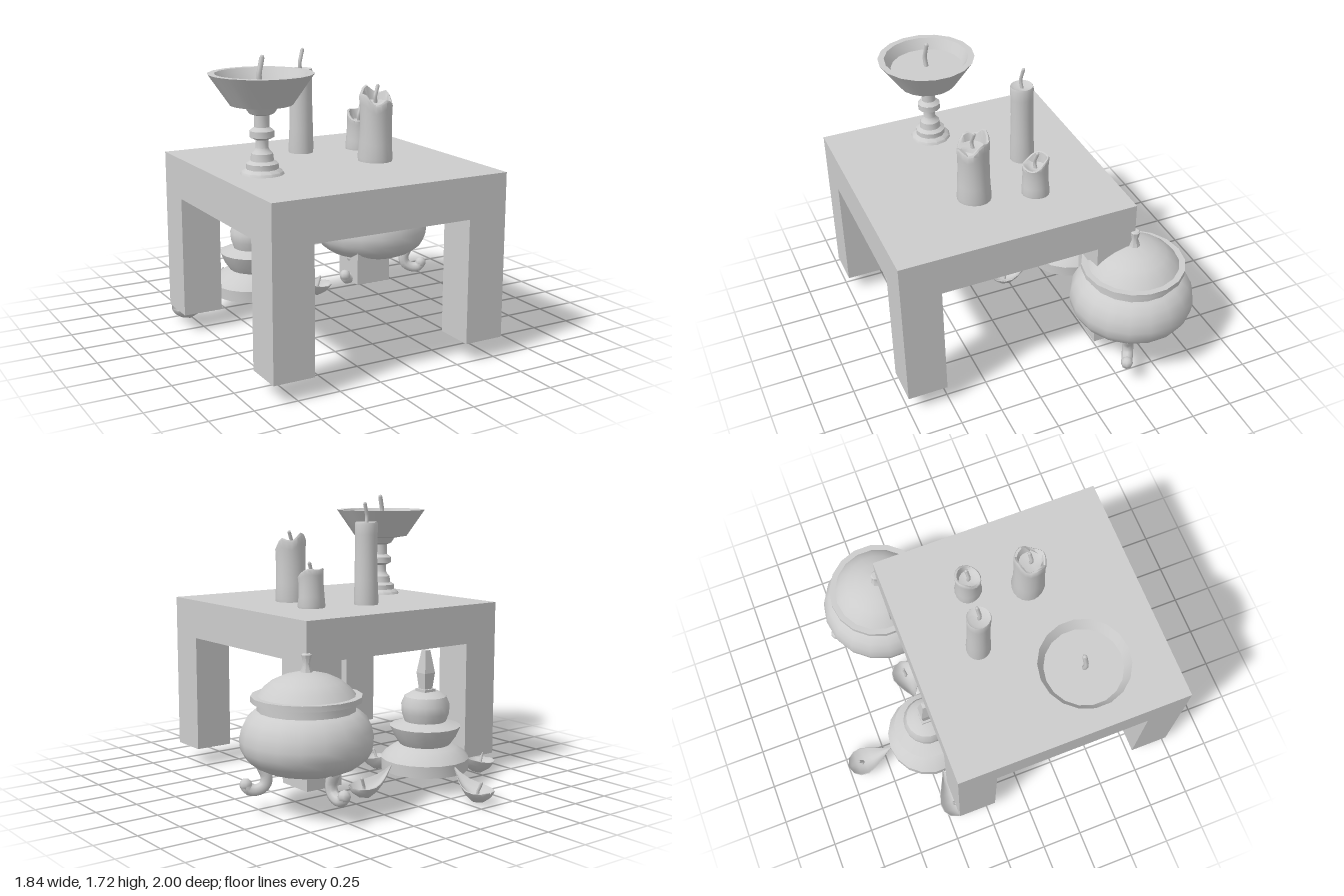
import * as THREE from 'three';
import { toCreasedNormals } from 'three/addons/utils/BufferGeometryUtils.js';

const stone = new THREE.MeshStandardMaterial({ color: 0xcccccc });
stone.name = 'plain grey';

function add(parent, name, geometry, x = 0, y = 0, z = 0) {
  const mesh = new THREE.Mesh(geometry, stone);
  mesh.name = name;
  mesh.position.set(x, y, z);
  parent.add(mesh);
  return mesh;
}

function group(parent, name, x = 0, y = 0, z = 0) {
  const g = new THREE.Group();
  g.name = name;
  g.position.set(x, y, z);
  parent.add(g);
  return g;
}

// Turned solid from [radius, height] pairs, bottom to top
function turned(profile, sides, crease = 0.6) {
  const points = profile.map(([r, y]) => new THREE.Vector2(r, y));
  return toCreasedNormals(new THREE.LatheGeometry(points, sides), crease);
}

// Skin through closed rings of [x, y, z] points
function loft(rings, crease = 0.8) {
  const n = rings[0].length, index = [];
  for (let i = 0; i < rings.length - 1; i++) {
    for (let j = 0; j < n; j++) {
      const a = i * n + j, b = i * n + (j + 1) % n;
      index.push(a, b, a + n, b, b + n, a + n);
    }
  }
  const g = new THREE.BufferGeometry();
  g.setAttribute('position', new THREE.Float32BufferAttribute(rings.flat(2), 3));
  g.setIndex(index);
  return toCreasedNormals(g, crease);
}

function tube(points, radius, segments = 8, sides = 6) {
  const curve = new THREE.CatmullRomCurve3(points.map((p) => new THREE.Vector3(...p)));
  return new THREE.TubeGeometry(curve, segments, radius, sides);
}

// Bent wick with a closed tip
function wick(parent, x, y, z, h, r = 0.011) {
  const g = group(parent, 'wick', x, y, z);
  add(g, 'wickStem', tube([[0, 0, 0], [-0.008, h * 0.4, 0.004], [0.004, h * 0.75, 0], [0.014, h, -0.004]], r));
  add(g, 'wickTip', new THREE.SphereGeometry(r, 6, 4), 0.014, h, -0.004);
}

// Wax pillar with an uneven rim and a sunken top
function candle(parent, name, x, z, r, rim, pool, wickHeight, wobble) {
  const g = group(parent, name, x, 1.07, z);
  const n = 18;
  const ring = (radius, height) => Array.from({ length: n }, (_, j) => {
    const a = j / n * Math.PI * 2;
    const k = radius * (1 + wobble * Math.sin(a * 3 + height(a) * 14));
    return [Math.cos(a) * k, height(a), -Math.sin(a) * k];
  });
  const rings = [ring(0.001, () => 0), ring(r * 1.02, () => 0)];
  for (const [t, k] of [[0.06, 1.04], [0.3, 0.98], [0.6, 0.94], [0.85, 0.95], [0.97, 0.98]]) {
    rings.push(ring(r * k, (a) => rim(a) * t));
  }
  rings.push(ring(r * 0.92, rim), ring(r * 0.8, (a) => rim(a) * 0.99));
  rings.push(ring(r * 0.66, () => pool + 0.008), ring(r * 0.3, () => pool), ring(0.001, () => pool));
  add(g, name + 'Wax', loft(rings));
  wick(g, 0, pool - 0.005, 0, wickHeight);
}

function buildTable(parent) {
  const g = group(parent, 'table');
  add(g, 'tableTop', new THREE.BoxGeometry(1.44, 0.24, 1.44), -0.17, 0.95, 0.28);
  for (const x of [-0.77, 0.43]) {
    for (const z of [-0.32, 0.88]) {
      add(g, 'tableLeg', new THREE.BoxGeometry(0.24, 0.72, 0.24), x, 0.47, z);
    }
  }
}

function buildPot(parent) {
  const g = group(parent, 'lidded pot', 0.55, 0, -0.44);
  add(g, 'potBody', turned([[0, 0.25], [0.235, 0.25], [0.29, 0.275], [0.34, 0.315], [0.368, 0.365], [0.375, 0.42],
    [0.362, 0.48], [0.335, 0.535], [0.295, 0.57], [0.275, 0.58], [0.275, 0.635], [0, 0.635]], 18));
  add(g, 'lidRim', turned([[0, 0.63], [0.31, 0.63], [0.31, 0.662], [0.27, 0.662], [0, 0.662]], 18));
  add(g, 'lidDome', turned([[0.275, 0.66], [0.245, 0.7], [0.195, 0.74], [0.13, 0.77], [0.05, 0.79], [0, 0.79]], 18));
  add(g, 'lidKnob', turned([[0.05, 0.78], [0.035, 0.79], [0.019, 0.835], [0.03, 0.885], [0.022, 0.892], [0, 0.892]], 8));
  // Three curled feet
  for (let i = 0; i < 3; i++) {
    const foot = group(g, 'potFoot');
    foot.rotation.y = Math.PI / 2 + i * Math.PI * 2 / 3;
    add(foot, 'footCurl', tube([[0.25, 0.27, 0], [0.225, 0.21, 0], [0.235, 0.16, 0], [0.28, 0.133, 0],
      [0.325, 0.138, 0], [0.34, 0.165, 0]], 0.034, 14, 8));
    add(foot, 'footTip', new THREE.SphereGeometry(0.036, 8, 6), 0.34, 0.165, 0);
  }
}

// One leaf-shaped lamp dish pointing along +x
function leafDish() {
  // distance out, half width, rim height, keel height
  const sections = [[0.262, 0.003, 0.165, 0.155], [0.3, 0.02, 0.135, 0.1], [0.345, 0.045, 0.108, 0.055],
    [0.4, 0.073, 0.09, 0.018], [0.45, 0.09, 0.08, 0.0], [0.5, 0.084, 0.075, 0.012],
    [0.54, 0.055, 0.075, 0.04], [0.56, 0.003, 0.078, 0.07]];
  const n = 8;
  return loft(sections.map(([x, w, rim, keel]) => {
    const ring = [];
    for (let j = 0; j <= n; j++) {
      const s = 1 - 2 * j / n;
      ring.push([x, keel + (rim - keel) * s * s, s * w]);
    }
    for (let j = 0; j <= n; j++) {
      const s = 2 * j / n - 1;
      ring.push([x, keel + (rim - keel) * (0.3 + 0.7 * s * s) + 0.003, s * w * 0.95]);
    }
    return ring;
  }), 1.0);
}

function buildTieredLamp(parent) {
  const g = group(parent, 'tiered lamp', -0.32, 0, -0.44);
  add(g, 'tieredBody', turned([[0, 0.11], [0.262, 0.11], [0.264, 0.18], [0.235, 0.215], [0.19, 0.245], [0.15, 0.26],
    [0.185, 0.31], [0.212, 0.372], [0.17, 0.385], [0.125, 0.4], [0.142, 0.45], [0.146, 0.5],
    [0.125, 0.55], [0.08, 0.577], [0, 0.577]], 18));
  add(g, 'spireBase', new THREE.BoxGeometry(0.085, 0.02, 0.085), 0, 0.583, 0);
  // Four-sided spire
  const spire = add(g, 'spire', turned([[0.04, 0.59], [0.055, 0.69], [0.026, 0.825], [0, 0.828]], 4, 0.2));
  spire.rotation.y = Math.PI / 4;
  for (let i = 0; i < 4; i++) {
    const arm = group(g, 'leafLamp');
    arm.rotation.y = i * Math.PI / 2;
    add(arm, 'leafDish', leafDish());
    wick(arm, 0.47, 0.02, 0, 0.1, 0.009);
  }
}

function buildGoblet(parent) {
  const g = group(parent, 'goblet candle', -0.64, 0, 0.38);
  add(g, 'gobletStem', turned([[0, 1.07], [0.122, 1.07], [0.115, 1.085], [0.09, 1.1], [0.09, 1.13], [0.065, 1.145],
    [0.06, 1.185], [0.045, 1.2], [0.036, 1.215], [0.036, 1.26], [0.068, 1.275], [0.068, 1.31],
    [0.042, 1.33], [0.042, 1.395], [0.07, 1.405], [0.1, 1.45]], 12));
  add(g, 'gobletBowl', turned([[0, 1.435], [0.1, 1.44], [0.172, 1.452], [0.29, 1.622], [0.252, 1.622],
    [0.216, 1.56], [0, 1.56]], 18));
  wick(g, -0.005, 1.555, 0, 0.15, 0.014);
}

export function createModel() {
  const model = new THREE.Group();
  model.name = 'altar table';
  buildTable(model);
  buildPot(model);
  buildTieredLamp(model);
  buildGoblet(model);
  candle(model, 'tallCandle', -0.18, -0.043, 0.072, () => 0.5, 0.485, 0.13, 0.015);
  candle(model, 'brokenCandle', 0.085, 0.375, 0.098,
    (a) => 0.375 + 0.035 * Math.sin(a - 0.2) + 0.02 * Math.sin(a * 4 + 0.6), 0.335, 0.1, 0.025);
  candle(model, 'shortCandle', 0.18, 0.03, 0.08, (a) => 0.21 + 0.03 * Math.sin(a) + 0.008 * Math.sin(a * 3), 0.165, 0.105, 0.03);
  return model;
}
